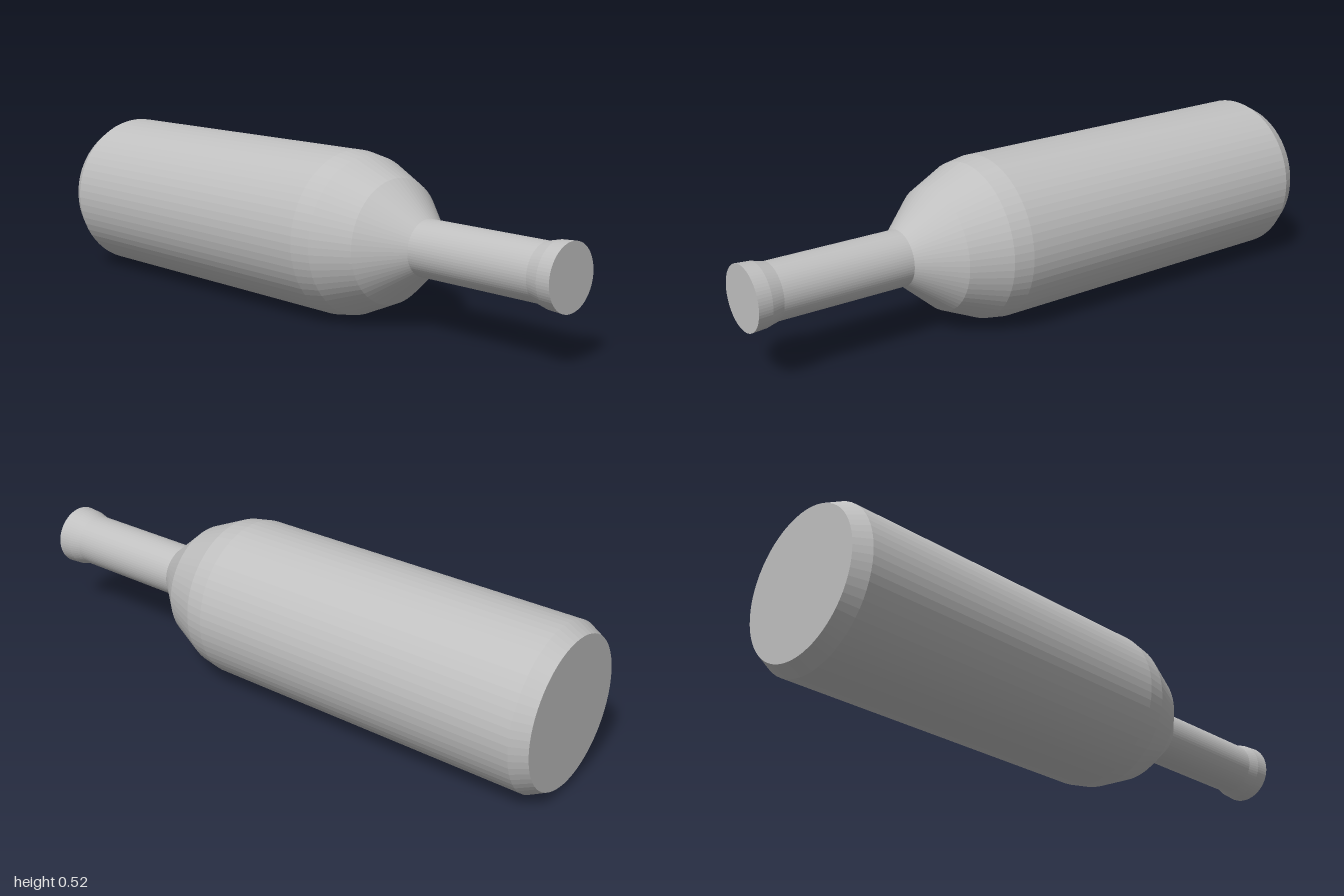
import * as THREE from 'three';

const SIDES = 64;
const AXIS_HEIGHT = 0.261;

export function createModel() {
  const group = new THREE.Group();
  group.name = 'bottle';
  const grey = new THREE.MeshStandardMaterial({ color: 0xc0c0c0, flatShading: true });
  grey.name = 'plain grey';

  // Turns a profile of [radius, z] points around the bottle's lying axis
  function turned(name, profile) {
    const points = profile.map(([r, z]) => new THREE.Vector2(r, z));
    const geometry = new THREE.LatheGeometry(points, SIDES);
    geometry.rotateX(Math.PI / 2);
    const mesh = new THREE.Mesh(geometry, grey);
    mesh.name = name;
    mesh.position.y = AXIS_HEIGHT;
    group.add(mesh);
  }

  // Flat base, bevelled rim and straight wall
  turned('body', [[0, -1], [0.235, -1], [0.261, -0.95], [0.261, 0.17]]);
  // Shoulder narrowing in three steps
  turned('shoulder', [[0.261, 0.17], [0.25, 0.235], [0.195, 0.36], [0.088, 0.485]]);
  // Straight neck
  turned('neck', [[0.088, 0.485], [0.088, 0.915]]);
  // Slightly flared lip with a closed mouth
  turned('lip', [[0.088, 0.915], [0.098, 0.955], [0.101, 1], [0, 1]]);

  return group;
}
